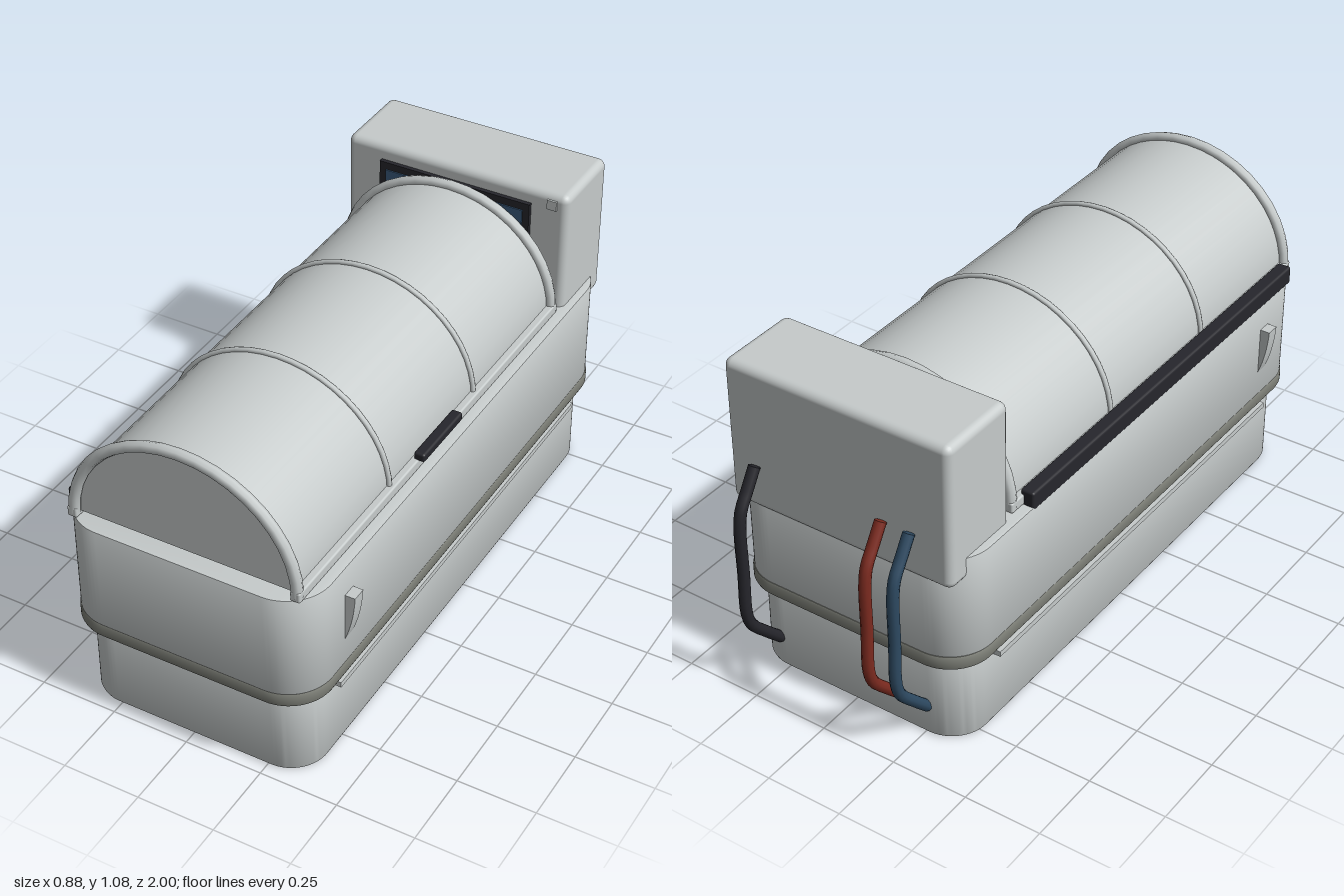
import * as THREE from 'three';
import { toCreasedNormals } from 'three/addons/utils/BufferGeometryUtils.js';
import { RoundedBoxGeometry } from 'three/addons/geometries/RoundedBoxGeometry.js';

const mat = (name, color, side = THREE.FrontSide) => {
  const m = new THREE.MeshStandardMaterial({ color, side });
  m.name = name;
  return m;
};

export function createModel() {
  const root = new THREE.Group();
  const shellGrey = mat('shell grey', 0xc6cbcb, THREE.DoubleSide);
  const bandGrey = mat('band grey', 0x7f8179);
  const black = mat('black rubber', 0x26262c);
  const red = mat('red hose', 0x7d2b20);
  const blue = mat('blue hose', 0x2e4a62);
  const screenBlue = mat('screen blue', 0x3a5a7c);

  const add = (name, geo, material, x = 0, y = 0, z = 0, parent = root) => {
    const m = new THREE.Mesh(geo, material);
    m.name = name;
    m.position.set(x, y, z);
    parent.add(m);
    return m;
  };

  // Horizontal slab with rounded corners and a small edge bevel
  const slab = (hw, z0, z1, y0, y1, r, bevel) => {
    const w = hw - bevel, h = (z1 - z0) / 2 - bevel, k = r - bevel;
    const s = new THREE.Shape();
    s.moveTo(w, -h + k);
    s.absarc(w - k, h - k, k, 0, Math.PI / 2);
    s.absarc(-w + k, h - k, k, Math.PI / 2, Math.PI);
    s.absarc(-w + k, -h + k, k, Math.PI, Math.PI * 1.5);
    s.absarc(w - k, -h + k, k, Math.PI * 1.5, Math.PI * 2);
    const g = new THREE.ExtrudeGeometry(s, {
      depth: y1 - y0 - 2 * bevel, bevelSize: bevel, bevelThickness: bevel, bevelSegments: 2, curveSegments: 8,
    });
    g.rotateX(-Math.PI / 2).translate(0, y0 + bevel, (z0 + z1) / 2);
    return toCreasedNormals(g, 0.6);
  };

  // Body
  add('base', slab(0.38, -0.845, 0.96, 0, 0.287, 0.12, 0.01), shellGrey);
  add('seamBand', slab(0.41, -0.88, 1.0, 0.285, 0.335, 0.14, 0.01), bandGrey);
  add('tub', slab(0.408, -0.876, 0.998, 0.33, 0.676, 0.14, 0.003), shellGrey);

  // Side strips and curved hooks
  for (const side of [-1, 1]) {
    add('sideStrip', new THREE.BoxGeometry(0.035, 0.018, 1.495), shellGrey, side * 0.387, 0.255, 0.058);
    const hook = new THREE.Shape();
    hook.moveTo(side * 0.4, 0.58);
    hook.lineTo(side * 0.44, 0.58);
    hook.quadraticCurveTo(side * 0.435, 0.49, side * 0.408, 0.42);
    hook.lineTo(side * 0.4, 0.42);
    const g = new THREE.ExtrudeGeometry(hook, { depth: 0.045, bevelEnabled: false, curveSegments: 8 });
    add('sideHook', toCreasedNormals(g, 0.5), shellGrey, 0, 0, 0.743);
  }

  // Arched canopy, slightly flattened
  const canopy = new THREE.Group();
  canopy.name = 'canopy';
  canopy.position.y = 0.69;
  canopy.scale.y = 0.94;
  root.add(canopy);
  const R = 0.355;
  const arch = new THREE.CylinderGeometry(R, R, 1.53, 24, 1, true, -Math.PI / 2, Math.PI);
  arch.rotateX(-Math.PI / 2).rotateZ(Math.PI);
  // keep the arch on the upper side whichever way it was turned
  arch.computeBoundingBox();
  if (arch.boundingBox.max.y < 0.1) arch.rotateZ(Math.PI);
  add('canopyShell', arch, shellGrey, 0, 0, 0.197, canopy);
  for (const z of [0.95, -0.56]) {
    add('canopyEnd', new THREE.CircleGeometry(R, 24, 0, Math.PI), shellGrey, 0, 0, z, canopy);
  }
  for (const z of [0.957, -0.57]) {
    add('endRim', new THREE.TorusGeometry(0.36, 0.018, 8, 20, Math.PI), shellGrey, 0, 0, z, canopy);
  }
  for (const z of [0.45, -0.057]) {
    add('rib', new THREE.TorusGeometry(0.358, 0.009, 8, 24, Math.PI), shellGrey, 0, 0, z, canopy);
  }
  for (const side of [-1, 1]) {
    add('canopyRail', new RoundedBoxGeometry(0.032, 0.034, 1.56, 2, 0.006), shellGrey, side * 0.36, 0.693, 0.193);
  }
  add('hingeBar', new RoundedBoxGeometry(0.046, 0.06, 1.45, 2, 0.008), black, -0.386, 0.695, 0.195);
  add('handle', new RoundedBoxGeometry(0.036, 0.028, 0.235, 2, 0.008), black, 0.377, 0.719, 0.195);

  // Console with screen, button and speaker ring
  add('console', new RoundedBoxGeometry(0.765, 0.475, 0.277, 3, 0.025), shellGrey, 0, 0.838, -0.7475);
  add('screenFrame', new THREE.BoxGeometry(0.52, 0.21, 0.016), black, 0, 0.92, -0.603);
  add('screen', new THREE.BoxGeometry(0.475, 0.165, 0.006), screenBlue, 0, 0.918, -0.594);
  add('button', new THREE.BoxGeometry(0.032, 0.032, 0.008), shellGrey, 0.33, 1.04, -0.607);
  add('speakerRing', new THREE.TorusGeometry(0.075, 0.014, 6, 20), shellGrey, 0.245, 0.735, -0.605);

  // Rear hoses
  const path = [[0.76, -0.9], [0.7, -0.937], [0.645, -0.97], [0.59, -0.98], [0.43, -0.98],
    [0.28, -0.98], [0.23, -0.962], [0.165, -0.905], [0.1, -0.842]];
  for (const [name, x, m] of [['blackHose', 0.28, black], ['redHose', -0.16, red], ['blueHose', -0.255, blue]]) {
    const pts = path.map(([y, z]) => new THREE.Vector3(x, y, z));
    const hose = new THREE.Group();
    hose.name = name;
    root.add(hose);
    add('hoseTube', new THREE.TubeGeometry(new THREE.CatmullRomCurve3(pts), 32, 0.018, 10), m, 0, 0, 0, hose);
    // closed hose ends
    const ends = [[pts[0], pts[1]], [pts[pts.length - 1], pts[pts.length - 2]]];
    for (const [p, q] of ends) {
      const cap = add('hoseEnd', new THREE.CircleGeometry(0.018, 10), m, p.x, p.y, p.z, hose);
      cap.lookAt(p.clone().multiplyScalar(2).sub(q));
    }
  }
  return root;
}
